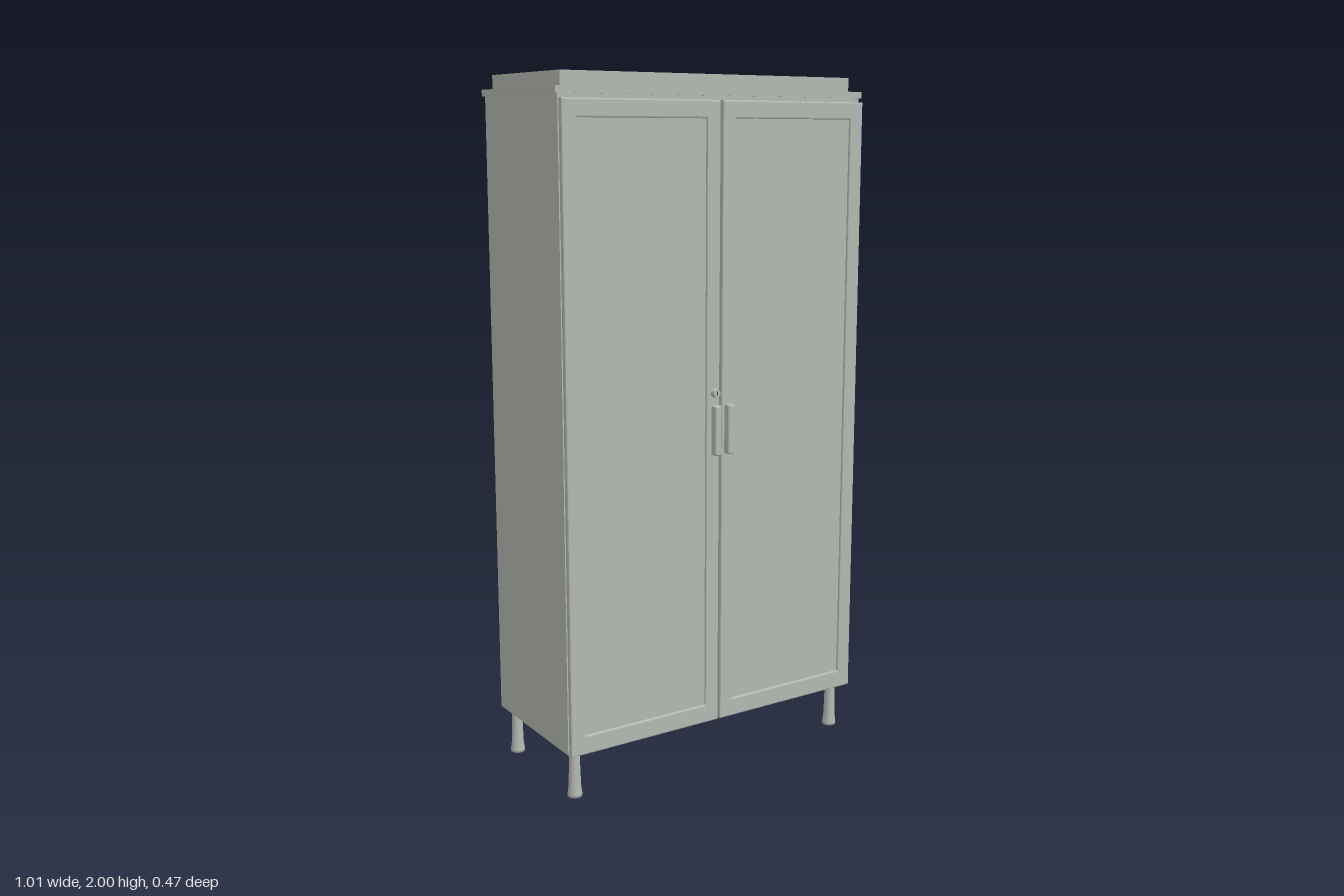
import * as THREE from 'three';
import { RoundedBoxGeometry } from 'three/addons/geometries/RoundedBoxGeometry.js';

function paint(name, color) {
  const m = new THREE.MeshStandardMaterial({ color });
  m.name = name;
  return m;
}

// Rectangle outline, shared by the door frame and its opening
function rectangle(Kind, x0, x1, y0, y1) {
  const r = new Kind();
  r.moveTo(x0, y0);
  r.lineTo(x1, y0);
  r.lineTo(x1, y1);
  r.lineTo(x0, y1);
  r.closePath();
  return r;
}

export function createModel() {
  const model = new THREE.Group();
  model.name = 'cabinet';
  const grey = paint('light grey paint', 0xb4b8b2);
  const blue = paint('blue label', 0x35446b);
  const dark = paint('dark lock slot', 0x3c3e40);

  function add(parent, name, geometry, material, x = 0, y = 0, z = 0) {
    const mesh = new THREE.Mesh(geometry, material);
    mesh.name = name;
    mesh.position.set(x, y, z);
    parent.add(mesh);
    return mesh;
  }

  // Box given by its limits on each axis
  function box(parent, name, material, [x0, x1], [y0, y1], [z0, z1]) {
    return add(parent, name, new THREE.BoxGeometry(x1 - x0, y1 - y0, z1 - z0), material,
      (x0 + x1) / 2, (y0 + y1) / 2, (z0 + z1) / 2);
  }

  // Carcass and stepped top
  box(model, 'carcass', grey, [-0.5, 0.493], [0.14, 1.942], [-0.23, 0.192]);
  box(model, 'cornice', grey, [-0.507, 0.501], [1.942, 1.96], [-0.236, 0.195]);
  box(model, 'topPlinth', grey, [-0.479, 0.474], [1.96, 2.0], [-0.225, 0.167]);
  box(model, 'topCatch', grey, [-0.07, 0.062], [1.96, 1.966], [0.167, 0.17]);

  // Doors: bevelled frame around a recessed panel
  const bevel = 0.004;
  function door(name, x0, x1, p0, p1) {
    const group = new THREE.Group();
    group.name = name;
    model.add(group);
    const shape = rectangle(THREE.Shape, x0 + bevel, x1 - bevel, 0.144, 1.926);
    shape.holes.push(rectangle(THREE.Path, p0 - bevel, p1 + bevel, 0.191, 1.885));
    const frame = new THREE.ExtrudeGeometry(shape, {
      depth: 0.01, bevelEnabled: true, bevelThickness: bevel, bevelSize: bevel, bevelSegments: 2,
    });
    add(group, 'doorFrame', frame, grey, 0, 0, 0.199);
    box(group, 'doorPanel', grey, [p0 - 0.01, p1 + 0.01], [0.185, 1.89], [0.195, 0.206]);
  }
  door('rightDoor', -0.5, -0.008, -0.455, -0.052);
  door('leftDoor', 0.0, 0.492, 0.043, 0.447);

  // Upright handles
  for (const x of [-0.025, 0.019]) {
    add(model, 'handle', new RoundedBoxGeometry(0.022, 0.145, 0.026, 3, 0.006), grey, x, 1.018, 0.223);
  }

  // Key lock on the right door
  const lock = add(model, 'lock', new THREE.CylinderGeometry(0.011, 0.013, 0.016, 24), grey, -0.026, 1.125, 0.219);
  lock.rotation.x = Math.PI / 2;
  box(model, 'keySlot', dark, [-0.0275, -0.0245], [1.119, 1.131], [0.226, 0.2278]);

  // Label plate on the left side
  box(model, 'sideLabel', blue, [0.493, 0.503], [1.545, 1.63], [-0.08, 0.002]);

  // Turned legs with flared feet
  const profile = [[0, 0], [0.021, 0], [0.021, 0.008], [0.018, 0.03], [0.016, 0.09], [0.016, 0.142]]
    .map(([r, y]) => new THREE.Vector2(r, y));
  for (const x of [-0.465, 0.457]) {
    for (const z of [-0.195, 0.163]) add(model, 'leg', new THREE.LatheGeometry(profile, 24), grey, x, 0, z);
  }

  return model;
}
